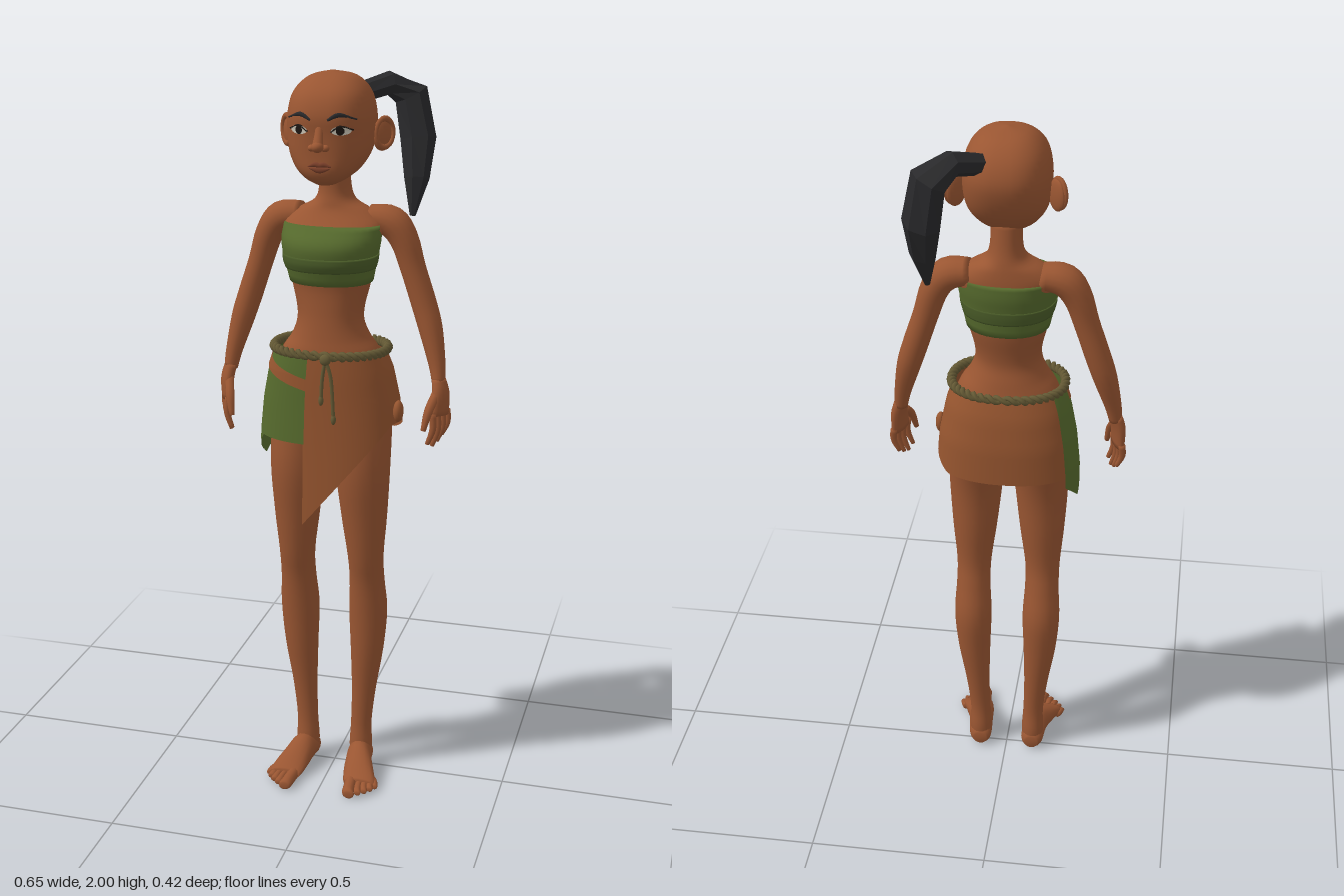
import * as THREE from 'three';

const V = (x, y, z) => new THREE.Vector3(x, y, z);
const X = V(1, 0, 0), Z = V(0, 0, 1), DOWN = V(0, -1, 0);
const lerp = THREE.MathUtils.lerp;
const mat = (name, color, side = THREE.FrontSide) => {
  const m = new THREE.MeshStandardMaterial({ color, side });
  m.name = name;
  return m;
};
const spow = (v, p) => Math.sign(v) * Math.pow(Math.abs(v), 2 / p);

function gridGeometry(pos, rows, cols, wrap) {
  const idx = [];
  for (let i = 0; i < rows - 1; i++) for (let j = 0; j < (wrap ? cols : cols - 1); j++) {
    const k = (j + 1) % cols, a = i * cols + j, b = i * cols + k, c = a + cols, d = b + cols;
    idx.push(a, b, c, b, d, c);
  }
  const g = new THREE.BufferGeometry();
  g.setAttribute('position', new THREE.Float32BufferAttribute(pos, 3));
  g.setIndex(idx);
  g.computeVertexNormals();
  return g;
}

// Closed sweep through stations [x, y, z, radiusA, radiusB]; radiusA runs along ref
function sweep(stations, { ref = X, dir = null, power = 2, sides = 16, steps = 4, flat = false } = {}) {
  const path = new THREE.CatmullRomCurve3(stations.map(s => V(s[0], s[1], s[2])), false, 'catmullrom');
  const size = new THREE.CatmullRomCurve3(stations.map(s => V(s[3], s[4], 0)), false, 'catmullrom');
  const n = (stations.length - 1) * steps, pos = [];
  for (let row = -1; row <= n + 1; row++) {
    const t = Math.min(Math.max(row / n, 0), 1), c = path.getPoint(t), r = size.getPoint(t);
    const T = dir || path.getTangent(t);
    const A = ref.clone().addScaledVector(T, -ref.dot(T)).normalize(), B = T.clone().cross(A);
    const k = row < 0 || row > n ? 0 : 1;
    for (let j = 0; j < sides; j++) {
      const a = j / sides * Math.PI * 2;
      const p = c.clone().addScaledVector(A, k * Math.max(r.x, 0.0005) * spow(Math.cos(a), power))
        .addScaledVector(B, k * Math.max(r.y, 0.0005) * spow(Math.sin(a), power));
      pos.push(p.x, p.y, p.z);
    }
  }
  let g = gridGeometry(pos, n + 3, sides, true);
  if (flat) { g = g.toNonIndexed(); g.computeVertexNormals(); }
  return g;
}

// Level body rings [y, halfWidth, front, back]
const body = (rings, opts) => sweep(rings.map(([y, w, f, b]) => [0, y, (f + b) / 2, w, (f - b) / 2]),
  { dir: DOWN, sides: 32, ...opts });

// Skirt outline [y, halfWidth, front, back] at an angle: 0 is left, 90 is front
const OUTLINE = [[1.29, 0.143, 0.147, -0.066], [1.22, 0.168, 0.15, -0.09], [1.13, 0.186, 0.151, -0.104],
  [1.03, 0.196, 0.154, -0.107], [0.8, 0.196, 0.164, -0.107]];
function skirtPoint(deg, y, scale = 1) {
  let i = 0;
  while (i < OUTLINE.length - 2 && y < OUTLINE[i + 1][0]) i++;
  const a = OUTLINE[i], b = OUTLINE[i + 1], t = (y - a[0]) / (b[0] - a[0]);
  const [w, f, k] = [1, 2, 3].map(q => lerp(a[q], b[q], t));
  const r = deg * Math.PI / 180;
  return V(w * scale * spow(Math.cos(r), 2.25), y, (f + k) / 2 + (f - k) / 2 * scale * spow(Math.sin(r), 2.25));
}
function panel(from, to, top, hem, scale) {
  const rows = 13, cols = 60, pos = [];
  for (let i = 0; i < rows; i++) for (let j = 0; j < cols; j++) {
    const d = lerp(to, from, j / (cols - 1));
    pos.push(...skirtPoint(d, lerp(top(d), hem(d), i / (rows - 1)), scale).toArray());
  }
  return gridGeometry(pos, rows, cols, false);
}

export function createModel() {
  const group = new THREE.Group();
  const skin = mat('skin', 0x9a5632), lip = mat('lip', 0x7c402a);
  const leather = mat('leather', 0x96552f, THREE.DoubleSide);
  const green = mat('greenCloth', 0x566a2d, THREE.DoubleSide);
  const darkGreen = mat('darkGreenBand', 0x4a5c28), rope = mat('rope', 0x655a35);
  const hair = mat('hair', 0x29292b), white = mat('eyeWhite', 0xc9c3b4), iris = mat('iris', 0x1d1612);
  const add = (name, geo, m) => {
    const mesh = new THREE.Mesh(geo, m);
    mesh.name = name;
    group.add(mesh);
    return mesh;
  };
  const blob = (name, m, p, s, ry = 0) => {
    const mesh = add(name, new THREE.SphereGeometry(1, 16, 12), m);
    mesh.position.set(...p); mesh.scale.set(...s); mesh.rotation.y = ry;
    return mesh;
  };

  // Torso with neck
  add('torso', body([[1.77, 0.04, 0.05, -0.045], [1.70, 0.042, 0.045, -0.055], [1.665, 0.056, 0.05, -0.063],
    [1.64, 0.1, 0.058, -0.068], [1.605, 0.134, 0.085, -0.072], [1.56, 0.124, 0.125, -0.072],
    [1.51, 0.117, 0.135, -0.065], [1.45, 0.104, 0.122, -0.058], [1.39, 0.09, 0.122, -0.045],
    [1.35, 0.09, 0.125, -0.042], [1.31, 0.106, 0.13, -0.052], [1.27, 0.133, 0.136, -0.062],
    [1.2, 0.158, 0.138, -0.082], [1.12, 0.168, 0.13, -0.094], [1.06, 0.14, 0.11, -0.08]], { power: 2.15 }), skin);

  // Head
  const head = add('head', body([[2.0, 0.005, 0.025, 0.015], [1.986, 0.06, 0.085, -0.05], [1.95, 0.096, 0.135, -0.093],
    [1.9, 0.11, 0.156, -0.113], [1.85, 0.111, 0.153, -0.106], [1.8, 0.104, 0.151, -0.082],
    [1.76, 0.082, 0.15, -0.045], [1.735, 0.054, 0.138, -0.005], [1.72, 0.025, 0.115, 0.035]],
    { power: 2.4, sides: 40 }), skin);
  head.updateMatrixWorld();
  const ray = new THREE.Raycaster();
  const faceZ = (x, y) => {
    ray.set(V(x, y, 1), V(0, 0, -1));
    const hit = ray.intersectObject(head)[0];
    return hit ? hit.point.z : 0.14;
  };
  const decal = (name, m, x, y, w, h, lift) => {
    const g = new THREE.CircleGeometry(1, 20).scale(w, h, 1).translate(x, y, 0), p = g.attributes.position;
    for (let i = 0; i < p.count; i++) p.setZ(i, faceZ(p.getX(i), p.getY(i)) + lift);
    g.computeVertexNormals();
    add(name, g, m);
  };
  const stroke = (name, m, pts) => add(name,
    sweep(pts.map(([x, y, r]) => [x, y, faceZ(x, y), r, 0.004]), { ref: V(0, 1, 0), sides: 8 }), m);

  // Nose and mouth
  add('noseBridge', sweep([[0, 1.875, 0.146, 0.01, 0.008], [0, 1.85, 0.156, 0.011, 0.01], [0, 1.825, 0.167, 0.014, 0.013]]), skin);
  blob('noseTip', skin, [0, 1.824, 0.167], [0.016, 0.014, 0.018]);
  stroke('upperLip', lip, [[-0.03, 1.772, 0.002], [-0.012, 1.778, 0.006], [0, 1.776, 0.006], [0.012, 1.778, 0.006], [0.03, 1.772, 0.002]]);
  stroke('lowerLip', lip, [[-0.026, 1.768, 0.002], [0, 1.764, 0.008], [0.026, 1.768, 0.002]]);

  for (const s of [1, -1]) {
    const side = s > 0 ? 'left' : 'right';
    const limb = (name, pts, opts) => add(side + name, sweep(pts.map(([x, ...r]) => [s * x, ...r]), opts), skin);

    // Eyes, brows, nostrils and ears
    decal(side + 'EyeWhite', white, s * 0.055, 1.863, 0.024, 0.011, 0.003);
    decal(side + 'Iris', iris, s * 0.054, 1.863, 0.01, 0.0105, 0.005);
    stroke(side + 'UpperLid', iris, [[s * 0.03, 1.86, 0.002], [s * 0.053, 1.874, 0.003], [s * 0.082, 1.864, 0.002]]);
    stroke(side + 'Brow', hair, [[s * 0.022, 1.889, 0.003], [s * 0.05, 1.902, 0.006], [s * 0.088, 1.89, 0.002]]);
    blob(side + 'Nostril', skin, [s * 0.017, 1.82, 0.156], [0.011, 0.009, 0.012]);
    blob(side + 'Ear', skin, [s * 0.125, 1.837, -0.008], [0.01, 0.042, 0.031], s * -0.75);
    const rim = add(side + 'EarRim', new THREE.TorusGeometry(0.027, 0.006, 8, 20), skin);
    rim.position.set(s * 0.131, 1.842, -0.006);
    rim.scale.set(1, 1.35, 1);
    rim.rotation.y = s * (Math.PI / 2 - 0.75);

    // Arm
    limb('Arm', [[0.09, 1.62, -0.015, 0.04, 0.035], [0.15, 1.61, -0.015, 0.046, 0.042], [0.185, 1.565, -0.015, 0.042, 0.038],
      [0.21, 1.49, -0.015, 0.036, 0.034], [0.24, 1.4, -0.014, 0.035, 0.034], [0.262, 1.33, -0.008, 0.034, 0.032],
      [0.284, 1.24, 0.008, 0.025, 0.023], [0.292, 1.19, 0.018, 0.023, 0.018]], { ref: Z });
    // Hand, turned so the thumb points forward and inward
    limb('Palm', [[0.292, 1.2, 0.018, 0.022, 0.017], [0.3, 1.16, 0.026, 0.032, 0.018], [0.3, 1.105, 0.032, 0.037, 0.014]],
      { ref: V(-0.4 * s, 0, 0.92) });
    for (let k = 0; k < 4; k++) {
      const z = 0.003 + 0.02 * k, x = 0.313 - 0.009 * k, len = [0.066, 0.08, 0.088, 0.078][k];
      limb('Finger', [[x, 1.115, z, 0.01, 0.01], [x + 0.002, 1.112 - len / 2, z + 0.004, 0.009, 0.009],
        [x - 0.012, 1.11 - len, z + 0.006, 0.006, 0.006]], { ref: Z, sides: 8 });
    }
    limb('Thumb', [[0.29, 1.165, 0.04, 0.013, 0.012], [0.277, 1.125, 0.075, 0.012, 0.011], [0.267, 1.075, 0.092, 0.007, 0.007]],
      { ref: X, sides: 8 });

    // Leg
    limb('Leg', [[0.086, 1.12, 0.02, 0.08, 0.095], [0.092, 0.95, 0.047, 0.075, 0.08], [0.096, 0.8, 0.043, 0.063, 0.065],
      [0.099, 0.68, 0.037, 0.05, 0.052], [0.1, 0.6, 0.022, 0.049, 0.05], [0.1, 0.5, 0.006, 0.054, 0.055],
      [0.097, 0.38, 0.004, 0.047, 0.047], [0.088, 0.25, 0.003, 0.035, 0.034], [0.081, 0.14, 0.004, 0.03, 0.028],
      [0.08, 0.07, 0.003, 0.033, 0.034], [0.08, 0.02, 0, 0.03, 0.03]], { dir: DOWN, sides: 20 });
    // Foot and toes
    limb('Foot', [[0.079, 0.03, -0.034, 0.02, 0.02], [0.08, 0.036, -0.015, 0.033, 0.034], [0.085, 0.046, 0.04, 0.036, 0.045],
      [0.096, 0.035, 0.09, 0.043, 0.034], [0.107, 0.022, 0.13, 0.047, 0.021], [0.11, 0.017, 0.15, 0.044, 0.014]], { dir: Z });
    for (let k = 0; k < 5; k++) {
      const x = [0.084, 0.107, 0.122, 0.135, 0.145][k], z = [0.209, 0.195, 0.182, 0.167, 0.15][k], r = k ? 0.01 : 0.017;
      limb('Toe', [[x, 0.018, 0.115, r, r], [x + 0.006, 0.017, z - 0.022, r, r * 0.95],
        [x + 0.01, 0.014, z - 0.004, r, r * 0.8], [x + 0.011, 0.012, z, r * 0.5, r * 0.4]], { sides: 10, dir: Z });
    }
  }

  // Ponytail, faceted
  add('ponytail', sweep([[0.055, 1.935, -0.07, 0.028, 0.028], [0.115, 1.955, -0.125, 0.034, 0.032],
    [0.165, 1.925, -0.16, 0.054, 0.046], [0.188, 1.81, -0.148, 0.056, 0.047], [0.193, 1.71, -0.115, 0.037, 0.034],
    [0.19, 1.615, -0.088, 0.008, 0.008]], { ref: V(0.75, 0, -0.66).cross(V(0, 1, 0)), sides: 7, steps: 1, flat: true }), hair);

  // Chest wrap with a folded lower band
  add('chestWrap', body([[1.607, 0.13, 0.118, -0.079], [1.57, 0.132, 0.15, -0.08], [1.53, 0.126, 0.152, -0.074],
    [1.458, 0.111, 0.13, -0.065]], { power: 2.15 }), green);
  add('chestBand', body([[1.533, 0.128, 0.157, -0.075], [1.515, 0.126, 0.156, -0.074], [1.496, 0.121, 0.148, -0.071]],
    { power: 2.15 }), darkGreen);

  // Wrapped skirt with a long front point
  const waist = () => 1.275;
  add('skirt', panel(-162, 102, waist, d => {
    if (d < 0) return lerp(1.08, 1.03, Math.min(-d / 40, 1));
    return Math.min(1.08, 0.81 + 1.2 * (skirtPoint(d, 0.9).x + 0.042));
  }, 1), leather);
  // Green side cloth with a low corner
  add('sideCloth', panel(101, 214, waist, d =>
    d < 150 ? 1.03 : d < 188 ? lerp(1.03, 0.945, (d - 150) / 38) : lerp(0.945, 1.0, (d - 188) / 26), 1.015), green);
  // Straps across both hips
  const strapY = d => lerp(1.195, 1.25, (d - 101) / 79);
  add('rightStrap', panel(100, 182, d => strapY(d) + 0.016, d => strapY(d) - 0.016, 1.03), leather);
  add('leftFold', panel(5, 60, d => 1.15 + d * 0.0003, d => 1.115 + d * 0.0008, 1.015), leather);
  blob('leftKnot', leather, [0.192, 1.115, 0.06], [0.014, 0.03, 0.02]);

  // Braided belt
  for (const phase of [0, Math.PI]) {
    const pts = [];
    for (let i = 0; i < 240; i++) {
      const a = i / 240 * Math.PI * 44 + phase;
      pts.push(skirtPoint(i * 1.5, 1.278, 1.04 + 0.045 * Math.cos(a)).add(V(0, 0.007 * Math.sin(a), 0)));
    }
    add('beltStrand', new THREE.TubeGeometry(new THREE.CatmullRomCurve3(pts, true), 300, 0.007, 6, true), rope);
  }
  // Belt knot and hanging cords
  blob('beltKnot', rope, [0.018, 1.272, 0.165], [0.015, 0.015, 0.01]);
  for (const [x, y] of [[0.006, 1.16], [0.04, 1.11]]) {
    add('beltCord', sweep([[0.018, 1.272, 0.163, 0.005, 0.005], [lerp(0.018, x, 0.7), 1.22, 0.163, 0.005, 0.005],
      [x, y, 0.163, 0.005, 0.005]], { sides: 6 }), rope);
    blob('cordEnd', rope, [x, y, 0.163], [0.007, 0.014, 0.007]);
  }
  return group;
}
